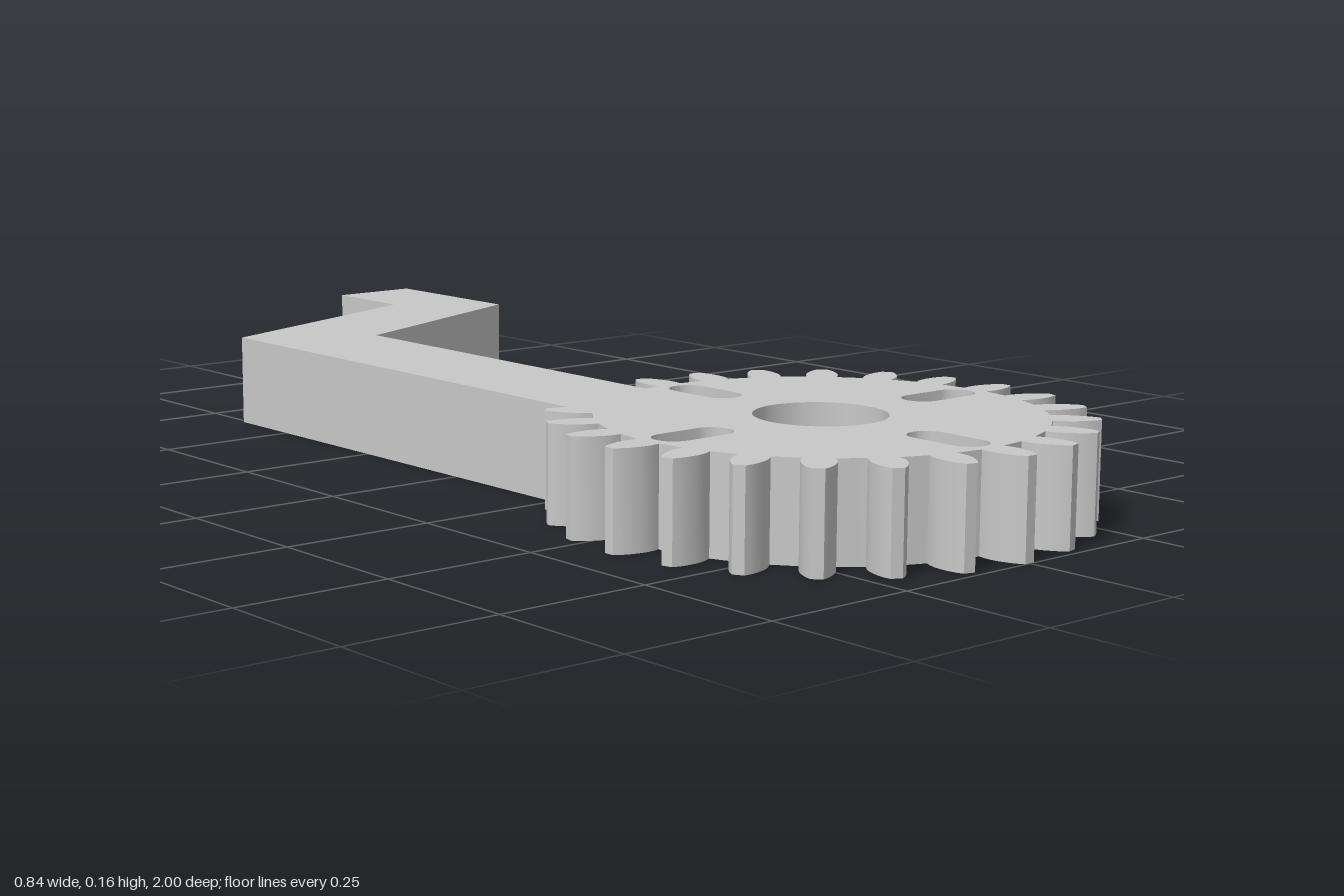
import * as THREE from 'three';
import { toCreasedNormals } from 'three/addons/utils/BufferGeometryUtils.js';

const HEIGHT = 0.155;
const CENTRE = -0.579; // gear centre on the plan (plan y = -z)
const TEETH = 24;
const STEP = (Math.PI * 2) / TEETH;
const ROOT = 0.346;

// Half profile of one tooth, root to tip: [half width, radius]
const FLANK = [
  [0.023, ROOT], [0.0255, 0.358], [0.026, 0.37], [0.0245, 0.383],
  [0.0205, 0.398], [0.0155, 0.41], [0.009, 0.42],
];

// Bent arm, from the gear's left side round to its right side
const ARM = [
  [-0.258, -0.288], [-0.258, 0.64], [0.208, 0.82], [0.208, 1],
  [0.368, 1], [0.368, 0.69], [-0.054, 0.51], [-0.054, -0.237],
];

// Point beside a spoke at angle a, measured clockwise from plan +y
function polar(a, across, out) {
  return new THREE.Vector2(
    across * Math.cos(a) + out * Math.sin(a),
    CENTRE - across * Math.sin(a) + out * Math.cos(a)
  );
}

// Clockwise outline of gear and arm; the arm replaces two teeth
function outline() {
  const pts = [];
  for (let k = 0; k <= TEETH - 3; k++) {
    const a = k * STEP;
    const last = k === TEETH - 3; // this tooth runs into the arm
    FLANK.forEach(([w, r]) => pts.push(polar(a, -w, r)));
    [...FLANK].reverse().forEach(([w, r]) => {
      if (!last || r > 0.39) pts.push(polar(a, w, r));
    });
    // curved root between teeth
    if (!last) for (const t of [0.4, 0.5, 0.6]) pts.push(polar(a + STEP * t, 0, ROOT));
  }
  ARM.forEach(([x, y]) => pts.push(new THREE.Vector2(x, y)));
  return new THREE.Shape(pts);
}

// Round-ended slot along a spoke
function slot(a) {
  const r = 0.032, inner = 0.222, outer = 0.299, n = 12;
  const pts = [];
  for (const [mid, start] of [[outer, 0], [inner, Math.PI]]) {
    for (let i = 0; i <= n; i++) {
      const t = start + (Math.PI * i) / n;
      pts.push(polar(a, r * Math.cos(t), mid + r * Math.sin(t)));
    }
  }
  return new THREE.Path(pts);
}

export function createModel() {
  const grey = new THREE.MeshStandardMaterial({ color: 0xc8c8c8 });
  grey.name = 'grey';

  const shape = outline();
  // axle hole and four slots, wound against the outline
  shape.holes.push(new THREE.Path().absarc(0, CENTRE, 0.104, 0, Math.PI * 2, false));
  for (let i = 0; i < 4; i++) shape.holes.push(slot((i * Math.PI) / 2));

  const geometry = new THREE.ExtrudeGeometry(shape, {
    depth: HEIGHT, bevelEnabled: false, curveSegments: 24,
  });
  geometry.rotateX(-Math.PI / 2);
  geometry.clearGroups();

  const body = new THREE.Mesh(toCreasedNormals(geometry, 0.5), grey);
  body.name = 'gearWithCrankArm';

  const group = new THREE.Group();
  group.name = 'gearCrank';
  group.add(body);
  return group;
}
